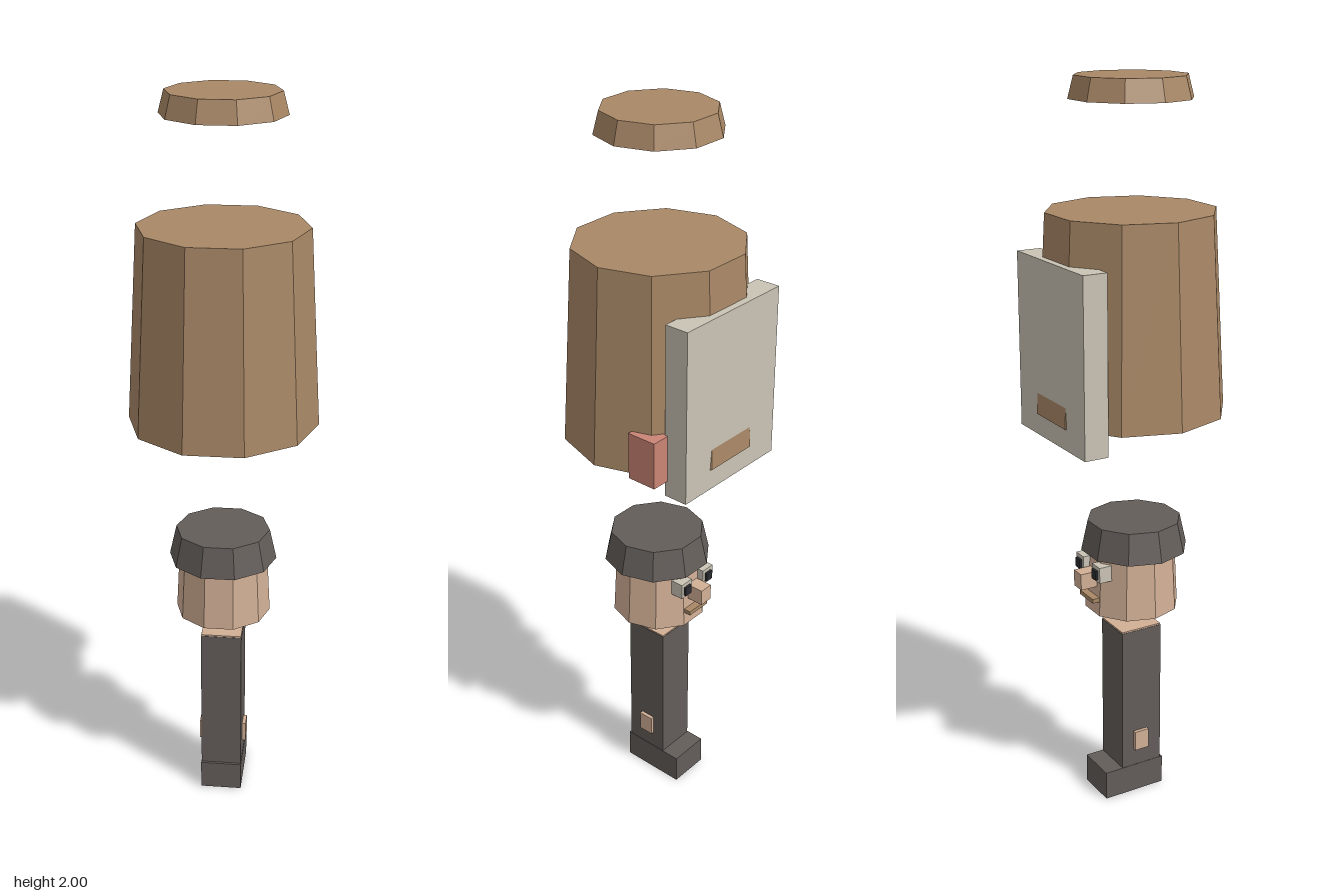
import * as THREE from 'three';

const material = (name, color) => {
  const m = new THREE.MeshStandardMaterial({ color, flatShading: true });
  m.name = name;
  return m;
};

export function createModel() {
  const group = new THREE.Group();
  const brown = material('brown', 0xa98866);
  const skin = material('skin', 0xd2b096);
  const cloth = material('dark cloth', 0x635d59);
  const pale = material('pale grey', 0xcac4b5);
  const pink = material('pink', 0xcb8576);
  const dark = material('pupil dark', 0x2a2c30);

  const add = (name, geometry, mat) => {
    const mesh = new THREE.Mesh(geometry, mat);
    mesh.name = name;
    group.add(mesh);
    return mesh;
  };
  // Box given by its limits on each axis
  const box = (name, mat, [x0, x1], [y0, y1], [z0, z1]) => {
    const mesh = add(name, new THREE.BoxGeometry(x1 - x0, y1 - y0, z1 - z0), mat);
    mesh.position.set((x0 + x1) / 2, (y0 + y1) / 2, (z0 + z1) / 2);
    return mesh;
  };
  // Tapered ten-sided drum with corners on the x axis
  const drum = (name, mat, rTop, rBottom, y0, y1, z = 0) => {
    const geometry = new THREE.CylinderGeometry(rTop, rBottom, y1 - y0, 10, 1, false, Math.PI / 10);
    add(name, geometry, mat).position.set(0, (y0 + y1) / 2, z);
  };

  // Floating cap and large body
  drum('cap', brown, 0.146, 0.161, 1.943, 2);
  drum('body', brown, 0.224, 0.254, 1.14, 1.667);

  // Back panel, with the foot of the body showing through it, and side pouch
  box('panel', pale, [-0.178, 0.178], [1.083, 1.555], [-0.2385, -0.171]);
  box('pouch', pink, [0.111, 0.229], [1.128, 1.257], [-0.179, -0.095]);

  // Head and hat
  drum('head', skin, 0.122, 0.131, 0.572, 0.75);
  drum('hat', cloth, 0.129, 0.148, 0.74, 0.825, 0.008);

  // Face, looking towards -z
  for (const side of [-1, 1]) {
    const x = side * 0.045;
    box('eye', pale, [x - 0.021, x + 0.021], [0.682, 0.727], [-0.137, -0.1]);
    box('pupil', dark, [x - 0.012, x + 0.012], [0.69, 0.716], [-0.144, -0.135]);
  }
  box('nose', skin, [-0.02, 0.02], [0.652, 0.698], [-0.169, -0.1]);
  box('mouth', brown, [-0.037, 0.037], [0.613, 0.625], [-0.143, -0.1]);

  // Leg, foot, neck patch and hands
  box('leg', cloth, [-0.057, 0.057], [0.07, 0.508], [-0.062, 0.062]);
  box('neckPatch', skin, [-0.056, 0.056], [0.508, 0.512], [-0.061, 0.061]);
  box('foot', cloth, [-0.058, 0.058], [0, 0.083], [-0.116, 0.069]);
  for (const side of [-1, 1]) {
    const xs = [side * 0.04, side * 0.067].sort((a, b) => a - b);
    box('hand', skin, xs, [0.135, 0.193], [-0.026, 0.018]);
  }
  return group;
}
